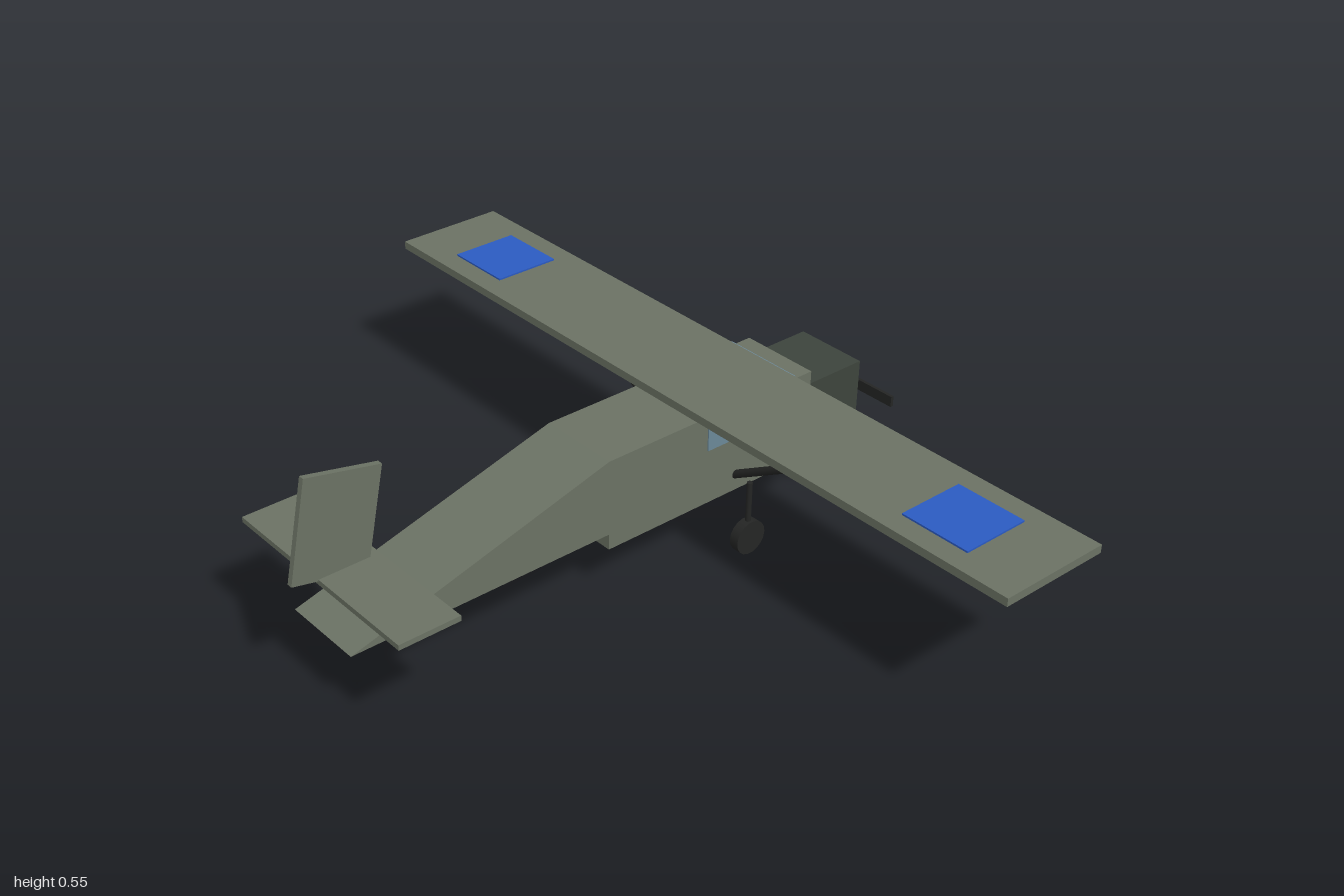
import * as THREE from 'three';

const paint = (name, color) => {
  const m = new THREE.MeshStandardMaterial({ color });
  m.name = name;
  return m;
};

export function createModel() {
  const olive = paint('olive', 0x6b7264);
  const cowl = paint('dark green', 0x3d443c);
  const black = paint('black', 0x242524);
  const glass = paint('blue grey', 0x6b8898);
  const blue = paint('blue', 0x2b5bc2);

  const model = new THREE.Group();
  model.name = 'airplane';

  const add = (name, geometry, material, x = 0, y = 0, z = 0) => {
    const mesh = new THREE.Mesh(geometry, material);
    mesh.name = name;
    mesh.position.set(x, y, z);
    model.add(mesh);
    return mesh;
  };
  const box = (name, material, w, h, d, x, y, z) =>
    add(name, new THREE.BoxGeometry(w, h, d), material, x, y, z);

  // Round bar between two points
  const bar = (name, from, to, radius) => {
    const a = new THREE.Vector3(...from), b = new THREE.Vector3(...to);
    const dir = b.clone().sub(a);
    const mesh = add(name, new THREE.CylinderGeometry(radius, radius, dir.length(), 10), black);
    mesh.position.copy(a).add(b).multiplyScalar(0.5);
    mesh.quaternion.setFromUnitVectors(new THREE.Vector3(0, 1, 0), dir.normalize());
  };

  // Side outline given as [z, y], extruded across x
  const slab = (name, material, points, width) => {
    const shape = new THREE.Shape(points.map(([z, y]) => new THREE.Vector2(-z, y)));
    const geometry = new THREE.ExtrudeGeometry(shape, { depth: width, bevelEnabled: false });
    geometry.translate(0, 0, -width / 2).rotateY(Math.PI / 2);
    add(name, geometry, material);
  };

  // Fuselage with tapering tail boom, cabin glass and engine cowl
  slab('fuselage', olive,
    [[0.72, 0.17], [0.04, 0.17], [0.04, 0.13], [-0.57, 0.13], [-0.57, 0.36], [0.04, 0.36]], 0.208);
  box('cabinWindows', glass, 0.214, 0.097, 0.267, 0, 0.3205, -0.382);
  box('engineCowl', cowl, 0.19, 0.17, 0.175, 0, 0.235, -0.657);

  // Spinner and propeller
  const spinner = new THREE.CylinderGeometry(0.029, 0.029, 0.042, 16).rotateX(Math.PI / 2);
  add('spinner', spinner, glass, 0, 0.236, -0.764);
  box('propeller', black, 0.36, 0.027, 0.008, 0, 0.236, -0.774);

  // Wing and tail
  box('wing', olive, 2, 0.02, 0.284, 0, 0.379, -0.346);
  box('tailplane', olive, 0.572, 0.013, 0.15, 0, 0.302, 0.647);
  slab('fin', olive, [[0.785, 0.318], [0.602, 0.279], [0.553, 0.517], [0.736, 0.556]], 0.014);

  // Wheel with its upright leg
  const gear = (name, x, z, radius, top) => {
    const wheel = new THREE.CylinderGeometry(radius, radius, 0.025, 18).rotateZ(Math.PI / 2);
    add(name + 'Wheel', wheel, black, x, 0.044, z);
    bar(name + 'Leg', [x, 0.044, z], [x, top, z], 0.007);
  };
  gear('nose', 0, -0.645, 0.037, 0.16);

  for (const [side, s] of [['left', 1], ['right', -1]]) {
    gear(side, s * 0.17, -0.322, 0.043, 0.19);
    bar(side + 'WingStrut', [s * 0.1, 0.17, -0.34], [s * 0.445, 0.37, -0.34], 0.01);
    // Painted panels above and below the wing
    box(side + 'UpperPanel', blue, 0.176, 0.005, 0.172, s * 0.761, 0.3908, -0.345);
    box(side + 'LowerPanel', blue, 0.176, 0.005, 0.172, s * 0.761, 0.3672, -0.345);
  }
  return model;
}
